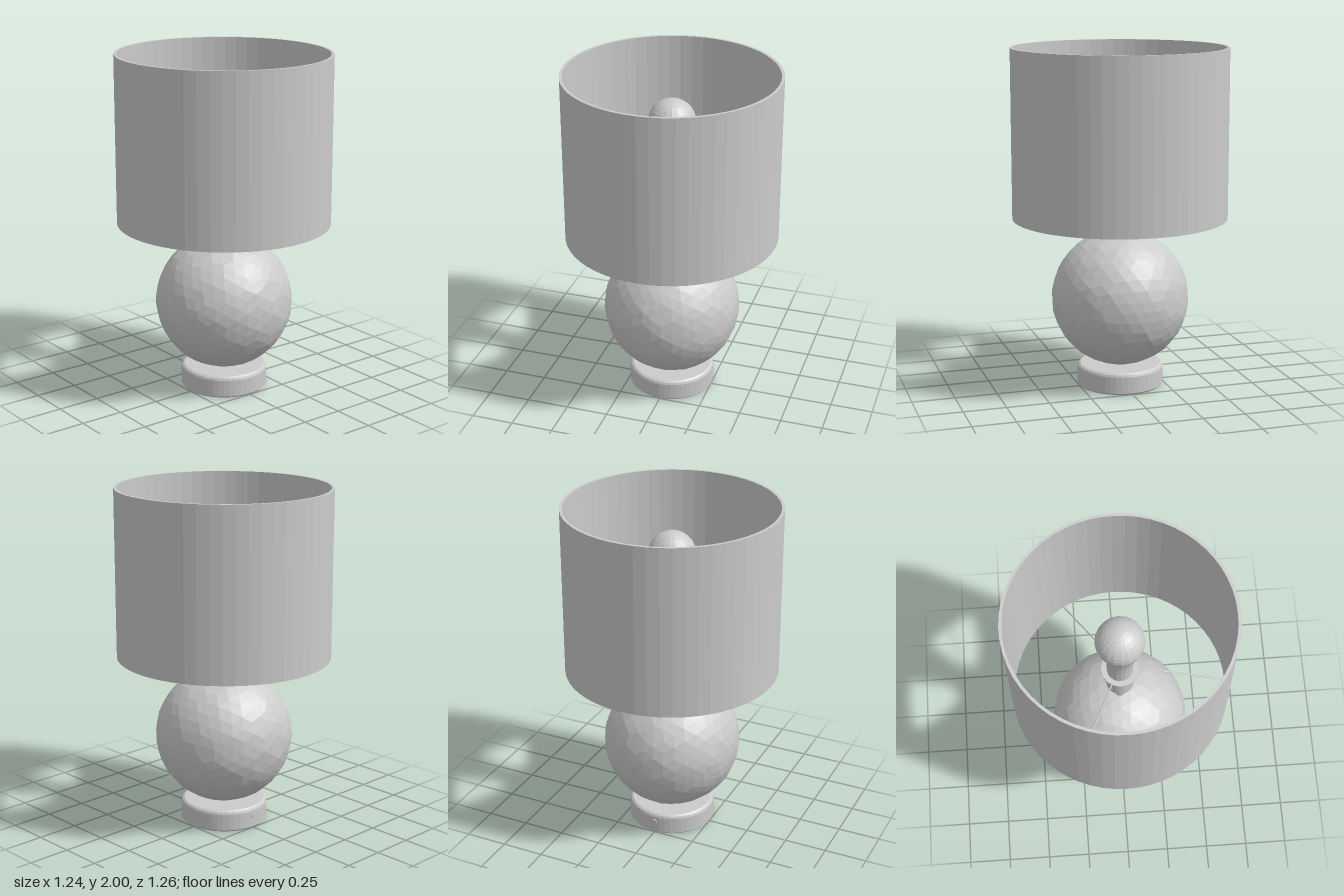
import * as THREE from 'three';

const smooth = new THREE.MeshStandardMaterial({ color: 0xcccccc, side: THREE.DoubleSide });
const faceted = new THREE.MeshStandardMaterial({ color: 0xcccccc, flatShading: true });

const v2 = (pts) => pts.map(([x, y]) => new THREE.Vector2(x, y));

function add(parent, name, geometry, material = smooth) {
  const mesh = new THREE.Mesh(geometry, material);
  mesh.name = name;
  parent.add(mesh);
  return mesh;
}

// Lathe whose corners stay sharp: each straight run is turned on its own faceted ring
const turned = (pts, segments = 48) => new THREE.LatheGeometry(v2(pts), segments);

// Straight rod between two points
function rod(parent, name, a, b, radius) {
  const mesh = add(parent, name, new THREE.CylinderGeometry(radius, radius, a.distanceTo(b), 8));
  mesh.position.copy(a).add(b).multiplyScalar(0.5);
  mesh.quaternion.setFromUnitVectors(new THREE.Vector3(0, 1, 0), b.clone().sub(a).normalize());
}

// Hand-hammered ball: slight ripple on a faceted sphere
function hammeredBall(radius) {
  const geo = new THREE.IcosahedronGeometry(radius, 6);
  const pos = geo.attributes.position;
  const p = new THREE.Vector3();
  for (let i = 0; i < pos.count; i++) {
    p.fromBufferAttribute(pos, i);
    const ripple = Math.sin(p.x * 31) * Math.sin(p.y * 29 + 1) * Math.sin(p.z * 33 + 2);
    p.setLength(radius + 0.004 * ripple);
    pos.setXYZ(i, p.x, p.y, p.z);
  }
  geo.computeVertexNormals();
  return geo;
}

export function createModel() {
  const lamp = new THREE.Group();
  lamp.name = 'tableLamp';

  // Foot with a softened top edge, and the cord outlet at the back
  add(lamp, 'base', turned([
    [0, 0], [0.245, 0], [0.255, 0.01], [0.255, 0.108], [0.25, 0.121], [0.238, 0.13], [0, 0.13],
  ]), faceted);
  const outlet = add(lamp, 'cordOutlet', new THREE.CylinderGeometry(0.018, 0.018, 0.02, 12));
  outlet.rotation.x = Math.PI / 2;
  outlet.position.set(0, 0.075, -0.25);

  // Ball body
  add(lamp, 'body', hammeredBall(0.403), faceted).position.y = 0.53;

  // Stem, socket and the flange that carries the shade
  add(lamp, 'stem', new THREE.CylinderGeometry(0.03, 0.03, 0.22, 16)).position.y = 1.01;
  add(lamp, 'socket', new THREE.CylinderGeometry(0.08, 0.08, 0.2, 24)).position.y = 1.2;
  add(lamp, 'socketFlange', new THREE.CylinderGeometry(0.107, 0.107, 0.015, 24)).position.y = 1.295;

  // Bulb: neck swelling into a round globe
  const bulb = [[0.075, 1.3], [0.075, 1.4], [0.082, 1.48], [0.1, 1.57], [0.122, 1.64]];
  for (let i = 0; i <= 8; i++) {
    const a = (i / 8) * Math.PI / 2;
    bulb.push([0.138 * Math.cos(a), 1.71 + 0.138 * Math.sin(a)]);
  }
  add(lamp, 'bulb', turned(bulb, 20), faceted);

  // Drum shade: thin wall, open at top and bottom
  const shade = add(lamp, 'shade', turned([
    [0.605, 1.01], [0.622, 1.01], [0.622, 2], [0.605, 2], [0.605, 1.01],
  ], 56), faceted);
  shade.scale.z = 1.012;

  // Three sloping arms from the flange to the lower rim
  const spider = new THREE.Group();
  spider.name = 'shadeSpider';
  lamp.add(spider);
  for (let i = 0; i < 3; i++) {
    const a = (i * 2 * Math.PI) / 3;
    const at = (r, y) => new THREE.Vector3(r * Math.sin(a), y, r * Math.cos(a));
    rod(spider, 'shadeArm', at(0.1, 1.295), at(0.609, 1.025), 0.005);
  }

  return lamp;
}
